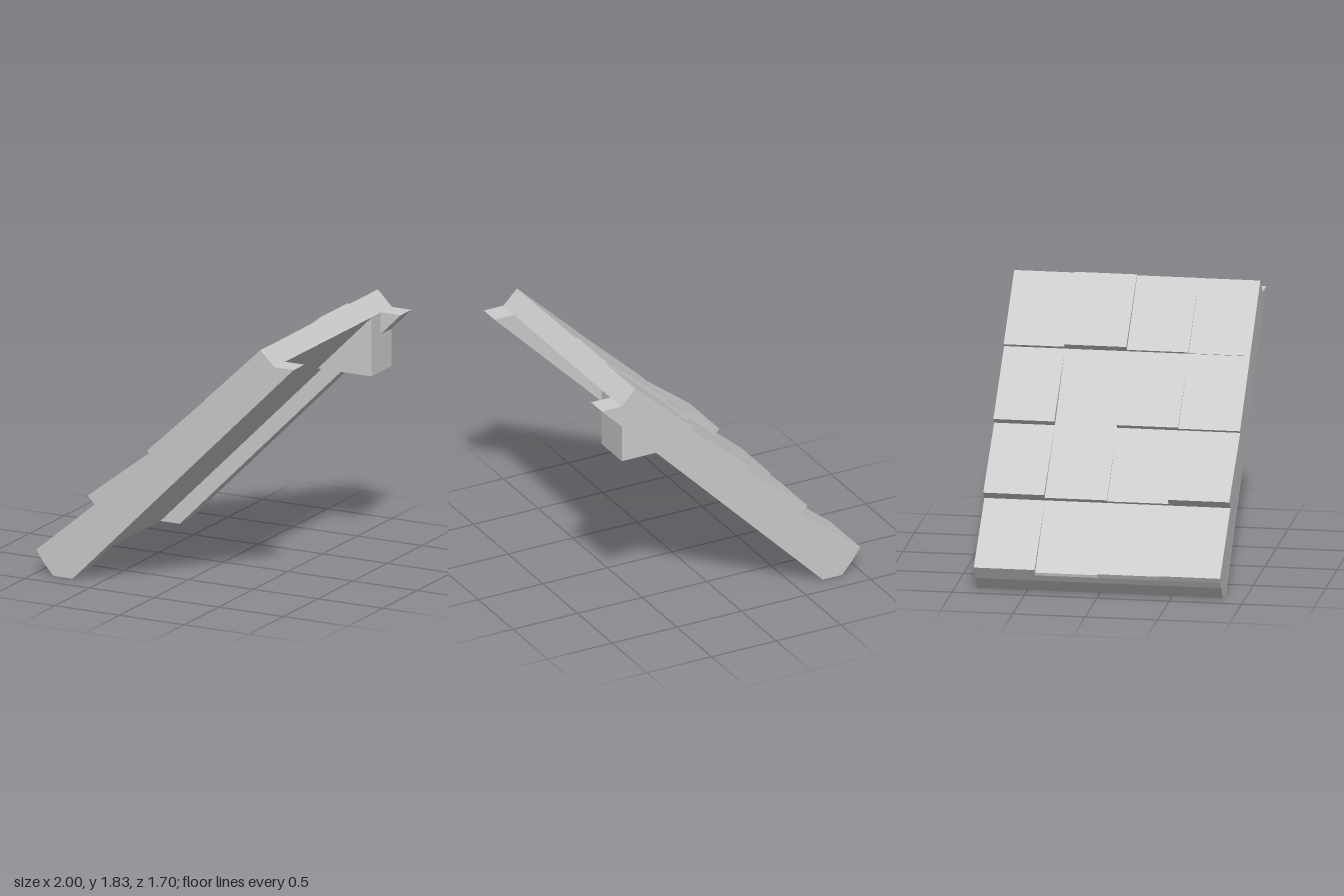
import * as THREE from 'three';

const material = new THREE.MeshStandardMaterial({ color: 0xcccccc, flatShading: true });

// Extrude an x/y outline between two z positions
function slab(name, points, z0, z1) {
  const shape = new THREE.Shape(points.map(([x, y]) => new THREE.Vector2(x, y)));
  const geometry = new THREE.ExtrudeGeometry(shape, { depth: z1 - z0, bevelEnabled: false });
  geometry.translate(0, 0, z0);
  const mesh = new THREE.Mesh(geometry, material);
  mesh.name = name;
  return mesh;
}

export function createModel() {
  const roof = new THREE.Group();
  roof.name = 'roofSection';

  // Shingle joints lie on lines x + y = const, square to the 45 degree pitch
  const joints = [-0.82, 0.01, 0.85, 1.705, 2.56];
  const deckLine = 1.09; // y - x where each shingle tucks under the next

  // Lower edge x of every shingle, one list per strip, then the ridge x
  const strips = [
    { z: [-0.85, -0.43], x: [-1.0, -0.59, -0.155, 0.29], ridge: 0.74 },
    { z: [-0.43, 0.0], x: [-0.975, -0.565, -0.12, 0.268], ridge: 0.733 },
    { z: [0.0, 0.425], x: [-0.985, -0.555, -0.145, 0.295], ridge: 0.742 },
    { z: [0.425, 0.85], x: [-0.99, -0.595, -0.135, 0.305], ridge: 0.743 },
  ];

  // Roof deck strips with stepped shingles on top
  const shingles = new THREE.Group();
  shingles.name = 'shingles';
  strips.forEach(({ z, x, ridge }, i) => {
    const outline = [[-0.86, 0], [0.85, 1.71]];
    for (let row = 3; row >= 0; row--) {
      const sum = joints[row + 1];
      const top = row === 3 ? ridge : (sum - deckLine) / 2;
      outline.push([top, sum - top], [x[row], joints[row] - x[row]]);
    }
    outline.push([-0.97, 0.135], [-0.94, 0.09]);
    shingles.add(slab(`shingleStrip${i + 1}`, outline, z[0], z[1]));
  });
  roof.add(shingles);

  // Rafters under both edges, running past the ridge
  const rafter = [[-0.86, 0], [-0.71, 0], [1, 1.71], [0.85, 1.71]];
  roof.add(slab('rafterFront', rafter, 0.695, 0.85));
  roof.add(slab('rafterBack', rafter, -0.85, -0.695));

  // Support block under the back rafter
  roof.add(slab('supportBlock', [[0.43, 1.29], [0.845, 1.29], [0.845, 1.705]], -0.85, -0.56));

  return roof;
}
